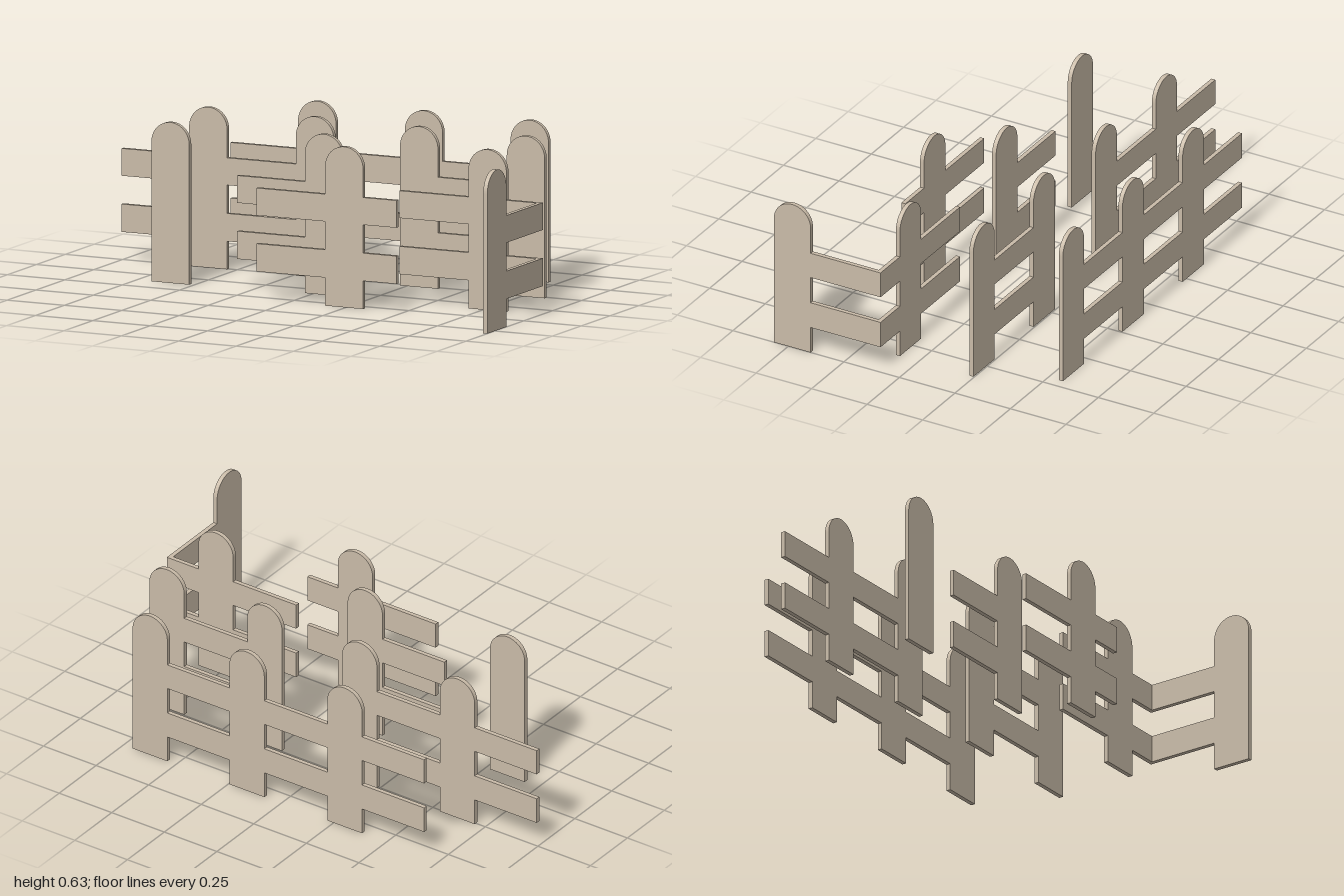
import * as THREE from 'three';

const W = 0.165, H = 0.635, T = 0.018;   // picket width, height, board thickness
const RAILS = [[0.111, 0.221], [0.333, 0.441]];

export function createModel() {
  const group = new THREE.Group();
  group.name = 'brokenFence';
  const wood = new THREE.MeshStandardMaterial({ color: 0xc9bba8 });
  wood.name = 'paleWood';

  // Round-topped board, its left edge at x = 0
  const r = W / 2;
  const outline = new THREE.Shape();
  outline.moveTo(0, 0);
  outline.lineTo(W, 0);
  outline.lineTo(W, H - r);
  outline.absarc(r, H - r, r, 0, Math.PI, false);
  outline.closePath();
  const picketGeometry = new THREE.ExtrudeGeometry(outline, {
    depth: T, bevelEnabled: false, curveSegments: 24,
  });
  picketGeometry.translate(0, 0, -T / 2);

  // A panel runs from start to end along its own x; rails fill the gaps between pickets
  function panel(name, start, end, pickets) {
    const p = new THREE.Group();
    p.name = name;
    let from = start;
    const addRails = (to) => {
      if (to - from < 0.005) return;
      for (const [low, high] of RAILS) {
        const rail = new THREE.Mesh(new THREE.BoxGeometry(to - from, high - low, T), wood);
        rail.name = 'rail';
        rail.position.set((from + to) / 2, (low + high) / 2, 0);
        p.add(rail);
      }
    };
    for (const x of pickets) {
      addRails(x);
      const picket = new THREE.Mesh(picketGeometry, wood);
      picket.name = 'picket';
      picket.position.x = x;
      p.add(picket);
      from = x + W;
    }
    addRails(end);
    group.add(p);
    return p;
  }

  // Panels facing the front: name, z, start, end, left edges of pickets
  const rows = [
    ['backPanel', -0.556, -0.68, 0.706, [-0.385, 0.08, 0.541]],
    ['middleRightPanel', -0.249, -1, -0.075, [-0.705, -0.24]],
    ['middleLeftPanel', -0.237, 0.22, 0.85, [0.22, 0.685]],
    ['innerPanel', 0.08, -0.33, 0.13, [-0.035]],
    ['loosePicket', 0.118, -0.685, -0.52, [-0.685]],
    ['frontPanel', 0.291, -0.14, 0.47, [0.16]],
    ['cornerPanel', 0.094, 0.385, 1, [0.685]],
  ];
  for (const [name, z, start, end, pickets] of rows) {
    panel(name, start, end, pickets).position.z = z;
  }

  // Panel turned to run forward from the corner
  const side = panel('cornerSidePanel', 0.103, 0.565, [0.4]);
  side.rotation.y = -Math.PI / 2;
  side.position.x = 1 - T / 2;

  return group;
}
